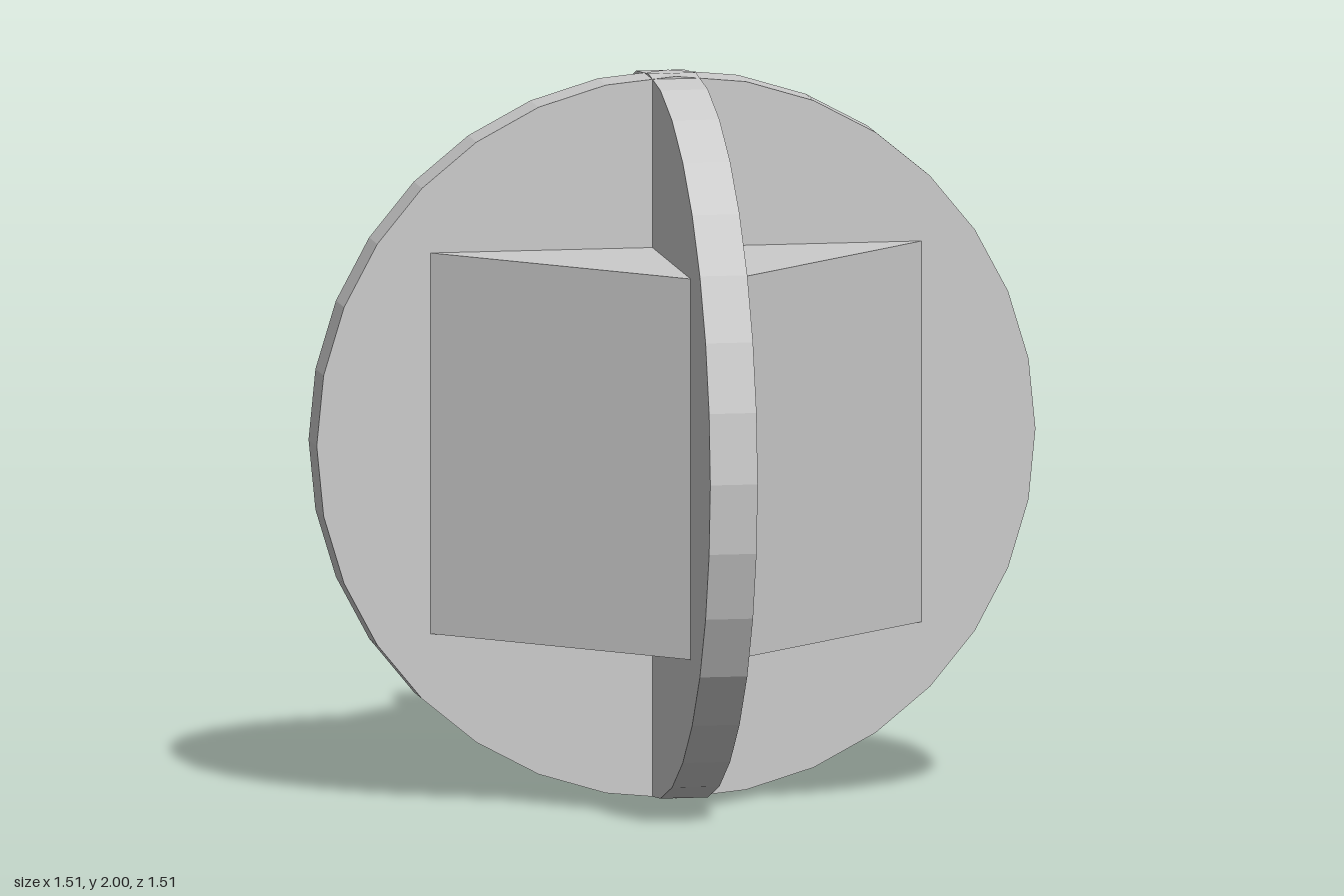
import * as THREE from 'three';

export function createModel() {
  const model = new THREE.Group();
  const material = new THREE.MeshStandardMaterial({ color: 0xcccccc, flatShading: true });

  const add = (geometry, name) => {
    const mesh = new THREE.Mesh(geometry, material);
    mesh.name = name;
    mesh.position.y = 1;
    model.add(mesh);
  };

  // Cube at the centre
  add(new THREE.BoxGeometry(1.06, 1.055, 1.06), 'core');

  // Two upright discs crossing along the cube's diagonals
  ['leftDisc', 'rightDisc'].forEach((name, i) => {
    const disc = new THREE.CylinderGeometry(1, 1, 0.132, 32);
    disc.rotateX(Math.PI / 2).rotateY((i ? 1 : -1) * Math.PI / 4);
    add(disc, name);
  });

  return model;
}
